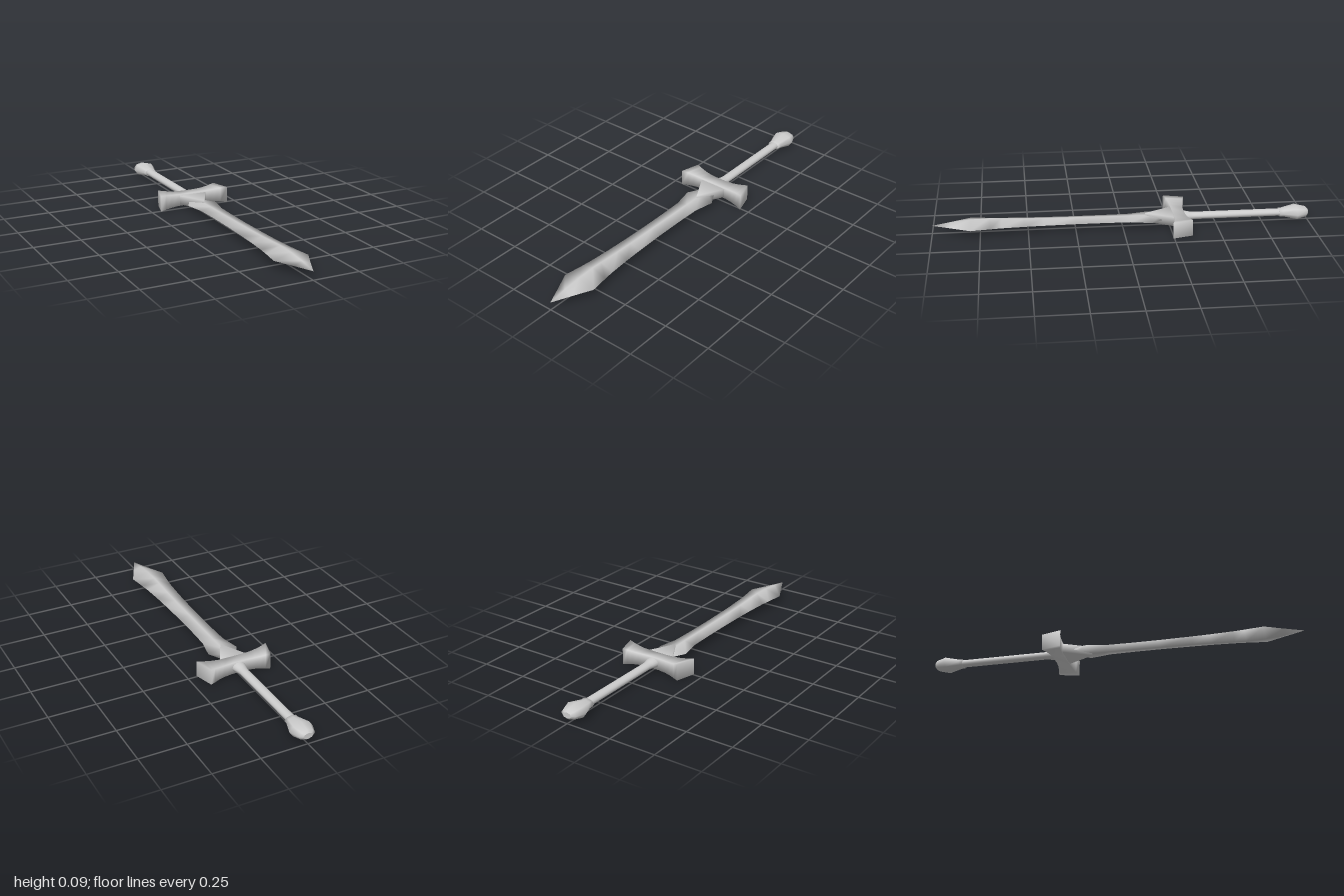
import * as THREE from 'three';
import { mergeVertices } from 'three/addons/utils/BufferGeometryUtils.js';

const Y = 0.0435; // height of the sword's axis
const steel = new THREE.MeshStandardMaterial({ color: 0xcccccc });
steel.name = 'steel grey';

// Smooth closed solid through rings of points (counterclockwise seen against the row direction)
function loft(rings) {
  const n = rings[0].length, last = (rings.length - 1) * n, index = [];
  for (let a0 = 0; a0 < last; a0 += n) {
    for (let j = 0; j < n; j++) {
      const a = a0 + j, b = a0 + (j + 1) % n;
      index.push(a, b, a + n, b, b + n, a + n);
    }
  }
  for (let j = 1; j < n - 1; j++) index.push(0, j + 1, j, last, last + j, last + j + 1);
  const geo = new THREE.BufferGeometry();
  geo.setAttribute('position', new THREE.Float32BufferAttribute(rings.flat(2), 3));
  geo.setIndex(index);
  const merged = mergeVertices(geo);
  merged.computeVertexNormals();
  return merged;
}

// Turned part along z, from [radius, z] pairs, flattened in height
function turned(profile, sides, flat) {
  const pts = profile.map(([r, z]) => new THREE.Vector2(r, z));
  return new THREE.LatheGeometry(pts, sides).rotateX(Math.PI / 2).scale(1, flat, 1).translate(0, Y, 0);
}

export function createModel() {
  const sword = new THREE.Group();
  sword.name = 'sword';
  const part = (name, geo) => {
    const mesh = new THREE.Mesh(geo, steel);
    mesh.name = name;
    sword.add(mesh);
  };

  // Blade: diamond sections [z, half width, half thickness]
  const stations = [
    [-0.28, 0.012, 0.01], [-0.21, 0.048, 0.011], [-0.145, 0.083, 0.012], [-0.035, 0.06, 0.013],
    [0.1, 0.057, 0.014], [0.25, 0.057, 0.016], [0.42, 0.061, 0.018], [0.52, 0.065, 0.021],
    [0.64, 0.073, 0.027], [0.7, 0.08, 0.03], [0.8, 0.094, 0.027], [0.9, 0.046, 0.017], [1, 0, 0],
  ];
  part('blade', loft(stations.map(([z, w, t]) =>
    [[w, Y, z], [0, Y + t, z], [-w, Y, z], [0, Y - t, z]])));

  // Pointed collar over the root of the blade
  part('collar', loft([Y - 0.025, Y + 0.025].map(y =>
    [[0, y, -0.12], [0.08, y, -0.27], [-0.08, y, -0.27]])));

  // Crossguard: sections [back x, back z, front x, front z, half height], mirrored
  const half = [
    [0.04, -0.326, 0.04, -0.265, 0.032], [0.085, -0.331, 0.09, -0.264, 0.033],
    [0.12, -0.338, 0.13, -0.26, 0.036], [0.145, -0.344, 0.165, -0.254, 0.04],
    [0.17, -0.35, 0.2, -0.243, 0.0435],
  ];
  const mirrored = half.map(([a, b, c, d, h]) => [-a, b, -c, d, h]).reverse();
  part('crossguard', loft([...mirrored, ...half].map(([bx, bz, fx, fz, h]) =>
    [[bx, Y + h, bz], [fx, Y + h, fz], [fx, Y - h, fz], [bx, Y - h, bz]])));

  // Grip, flaring slightly into the guard
  part('grip', turned([[0.025, -0.87], [0.025, -0.38], [0.029, -0.355], [0.037, -0.325], [0.037, -0.3]], 16, 0.76));

  // Faceted pommel with a flat end
  part('pommel', turned([[0.026, -1], [0.043, -0.988], [0.063, -0.935],
    [0.037, -0.862], [0.037, -0.845], [0.02, -0.845]], 8, 0.61));
  part('pommelCap', turned([[0, -1], [0.026, -1]], 8, 0.61));

  return sword;
}
